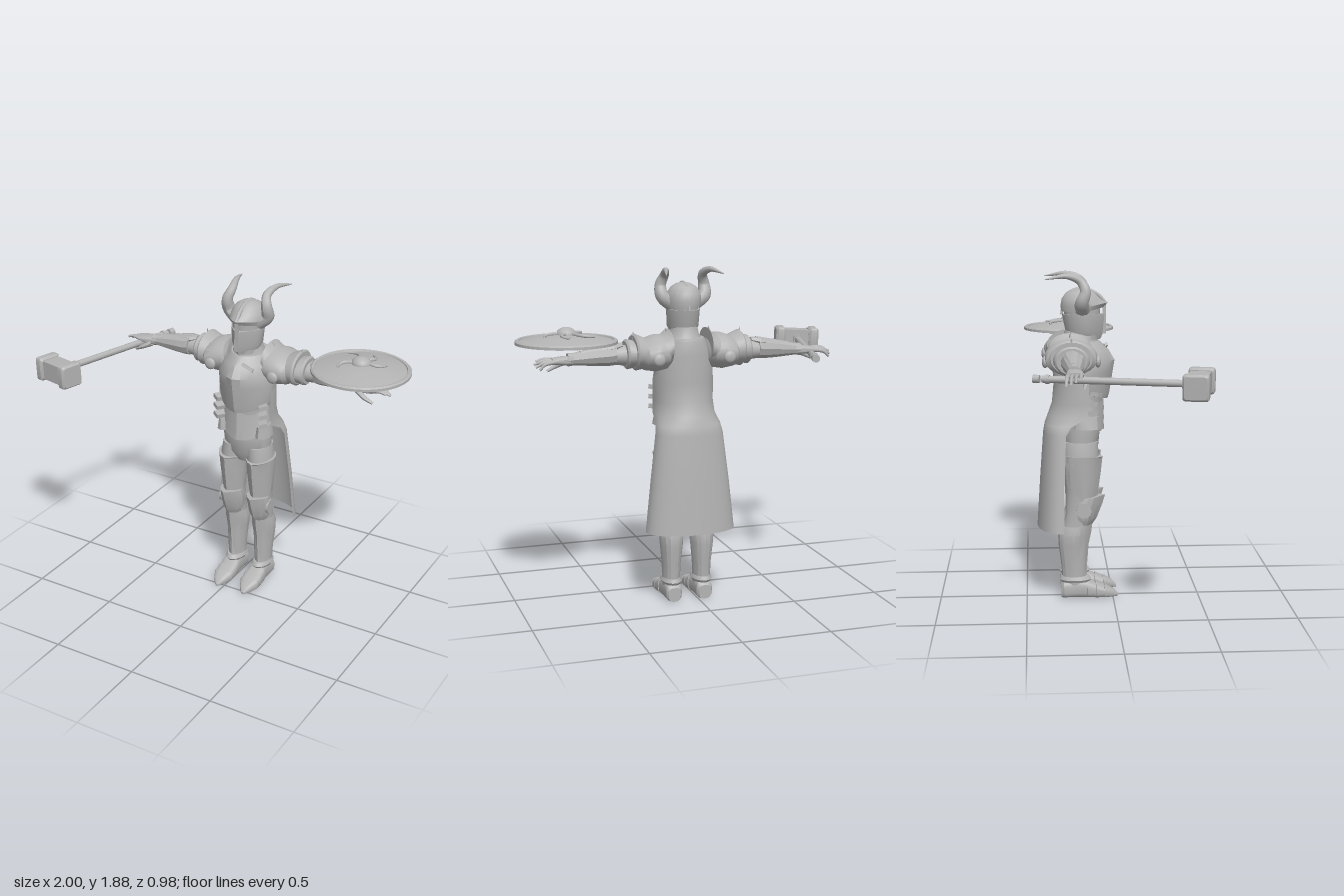
import * as THREE from 'three';
import { toCreasedNormals } from 'three/addons/utils/BufferGeometryUtils.js';

const steel = new THREE.MeshStandardMaterial({ color: 0xb4b4b4, side: THREE.DoubleSide });
steel.name = 'steel grey';

function add(parent, name, geo, pos = [0, 0, 0], rot = [0, 0, 0]) {
  const m = new THREE.Mesh(geo, steel);
  m.name = name;
  m.position.set(...pos);
  m.rotation.set(...rot);
  parent.add(m);
  return m;
}

// Closed body from rings [y, halfWidth, zFront, zBack, keel, frontDip, centreX], rising in y
function loft(rings, { power = 1, seg = 24, crease = 0.6 } = {}) {
  const pos = [], idx = [];
  const pw = v => Math.sign(v) * Math.abs(v) ** power;
  for (const [y, hx, zf, zb, keel = 0, dip = 0, cx = 0] of rings) {
    const mid = (zf + zb) / 2, hz = (zf - zb) / 2;
    for (let j = 0; j < seg; j++) {
      const a = j / seg * Math.PI * 2, s = pw(Math.sin(a)), c = pw(Math.cos(a));
      const f = Math.max(0, Math.cos(a));
      const z = c > 0 ? keel * (1 - Math.abs(s)) + (1 - keel) * c : c;
      pos.push(cx + hx * s, y - dip * f * f, mid + hz * z);
    }
  }
  const n = rings.length;
  for (let i = 0; i < n - 1; i++) for (let j = 0; j < seg; j++) {
    const a = i * seg + j, b = i * seg + (j + 1) % seg;
    idx.push(a, b, b + seg, a, b + seg, a + seg);
  }
  for (const end of [0, n - 1]) {
    const [y, , zf, zb, , , cx = 0] = rings[end], c = pos.length / 3;
    pos.push(cx, y, (zf + zb) / 2);
    for (let j = 0; j < seg; j++) {
      const a = end * seg + j, b = end * seg + (j + 1) % seg;
      end ? idx.push(a, b, c) : idx.push(b, a, c);
    }
  }
  const g = new THREE.BufferGeometry();
  g.setAttribute('position', new THREE.Float32BufferAttribute(pos, 3));
  g.setIndex(idx);
  return toCreasedNormals(g, crease);
}

// Same loft laid along +x: rings [x, halfHeight, zFront, zBack, , , -centreY]
const loftX = (rings, o) => loft(rings, o).rotateZ(-Math.PI / 2);

// Tube through points whose radius tapers from r0 to r1
function taper(points, r0, r1, n = 20, sides = 10) {
  const path = new THREE.CatmullRomCurve3(points.map(p => new THREE.Vector3(...p)));
  const g = new THREE.TubeGeometry(path, n, 1, sides), p = g.attributes.position;
  const v = new THREE.Vector3();
  for (let i = 0; i < p.count; i++) {
    const t = Math.floor(i / (sides + 1)) / n, c = path.getPointAt(t);
    v.fromBufferAttribute(p, i).sub(c).multiplyScalar(r0 + (r1 - r0) * t).add(c);
    p.setXYZ(i, v.x, v.y, v.z);
  }
  g.computeVertexNormals();
  return g;
}

function buildTorso(body) {
  add(body, 'hips', loft([[0.82, 0.07, -0.11, -0.26], [0.88, 0.14, -0.08, -0.29], [0.98, 0.15, -0.07, -0.29], [1.06, 0.145, -0.07, -0.28]]));
  add(body, 'waist', loft([[1.0, 0.145, -0.06, -0.28, 0.2, 0.03], [1.1, 0.13, -0.055, -0.28, 0.2], [1.24, 0.145, -0.05, -0.3]]));
  for (let i = 0; i < 3; i++) { // overlapping waist bands
    const y = 1.02 + i * 0.055;
    add(body, 'waistBand', loft([[y, 0.152 - i * 0.004, -0.045, -0.285, 0.3, 0.04], [y + 0.055, 0.138, -0.05, -0.28, 0.3, 0.03]]));
  }
  add(body, 'breastplate', loft([
    [1.2, 0.155, -0.025, -0.31, 0.25, 0.04], [1.225, 0.163, -0.015, -0.315, 0.3, 0.03], [1.32, 0.168, 0.005, -0.33, 0.35],
    [1.38, 0.165, 0.015, -0.335, 0.35], [1.44, 0.14, -0.02, -0.335, 0.3], [1.49, 0.105, -0.07, -0.32, 0.2]]));
  add(body, 'gorget', loft([[1.45, 0.12, -0.06, -0.32, 0.3], [1.5, 0.085, -0.08, -0.28, 0.3], [1.55, 0.075, -0.08, -0.27]]));
  add(body, 'chestClasp', new THREE.BoxGeometry(0.07, 0.018, 0.02), [0.075, 1.45, -0.035], [-0.4, 0.3, -0.35]);
}

// Cape wrapped around the back, rows [y, halfWidth, zEdge, zBack]
function buildCape(body) {
  const rows = [[1.48, 0.1, -0.22, -0.33], [1.4, 0.155, -0.17, -0.345], [1.25, 0.168, -0.14, -0.335], [1.14, 0.167, -0.135, -0.345],
    [1.07, 0.172, -0.15, -0.37], [1.02, 0.183, -0.24, -0.388], [0.97, 0.192, -0.27, -0.397], [0.7, 0.225, -0.28, -0.417], [0.42, 0.255, -0.285, -0.435]];
  const g = new THREE.PlaneGeometry(1, 1, 28, rows.length - 1), p = g.attributes.position;
  for (let i = 0; i < p.count; i++) {
    const [y, hx, ze, zb] = rows[Math.floor(i / 29)], a = ((i % 29) / 28 - 0.5) * Math.PI;
    p.setXYZ(i, -hx * Math.sin(a), y, ze + (zb - ze) * Math.max(0, Math.cos(a)) ** 0.8);
  }
  g.computeVertexNormals();
  add(body, 'cape', g);
}

function buildHelmet(body) {
  add(body, 'helmetCore', loft([[1.5, 0.07, -0.08, -0.25], [1.7, 0.085, -0.065, -0.28]]));
  add(body, 'faceGuard', loft([[1.51, 0.07, -0.065, -0.25, 0.6, 0.01], [1.55, 0.088, -0.045, -0.265, 0.6], [1.643, 0.093, -0.035, -0.285, 0.6]]));
  add(body, 'helmetDome', loft([[1.66, 0.094, -0.045, -0.288, 0.5, -0.02], [1.69, 0.1, -0.025, -0.292, 0.5, -0.015], [1.73, 0.094, -0.065, -0.285, 0.2],
    [1.765, 0.07, -0.1, -0.26], [1.783, 0.04, -0.135, -0.22], [1.79, 0.01, -0.17, -0.19]]));
  add(body, 'noseBar', new THREE.BoxGeometry(0.018, 0.16, 0.02), [0, 1.61, -0.043]);
  add(body, 'crestRidge', taper([[0, 1.7, -0.035], [0, 1.755, -0.085], [0, 1.787, -0.175], [0, 1.75, -0.26], [0, 1.64, -0.287]], 0.012, 0.008));
}

// Everything on the model's left; mirrored for its right
function buildSide(g) {
  add(g, 'horn', taper([[0.065, 1.675, -0.17], [0.12, 1.715, -0.175], [0.125, 1.775, -0.155], [0.11, 1.83, -0.18], [0.125, 1.862, -0.255], [0.16, 1.848, -0.38]], 0.045, 0.003, 30, 12));
  const hub = new THREE.CylinderGeometry(0.032, 0.038, 0.03, 18).rotateX(Math.PI / 2);
  add(g, 'hornSocket', hub, [0.09, 1.69, -0.175], [0, Math.PI / 2, 0]);

  // Shoulder plates
  const sy = 1.41;
  add(g, 'pauldron', loftX([[0.1, 0.06, -0.14, -0.32], [0.13, 0.095, -0.1, -0.37, 0, 0, -0.01], [0.19, 0.1, -0.09, -0.39, 0, 0, -0.005], [0.25, 0.085, -0.1, -0.38], [0.29, 0.06, -0.15, -0.33]]), [0, sy, 0]);
  add(g, 'pauldronRim', loftX([[0.11, 0.09, -0.12, -0.37, 0, 0, -0.045], [0.135, 0.085, -0.11, -0.375, 0, 0, -0.025], [0.17, 0.08, -0.11, -0.37, 0, 0, -0.02]]), [0, sy, 0]);
  for (let i = 0; i < 2; i++)
    add(g, 'shoulderLame', loftX([[0.22 + i * 0.05, 0.075 - i * 0.01, -0.13, -0.35, 0, 0, -0.005], [0.3 + i * 0.045, 0.1 - i * 0.018, -0.115 - i * 0.03, -0.365 + i * 0.03, 0, 0, -0.015 + i * 0.01],
      [0.31 + i * 0.045, 0.09 - i * 0.018, -0.125 - i * 0.03, -0.355 + i * 0.03, 0, 0, -0.015 + i * 0.01]]), [0, sy, 0]);
  add(g, 'shoulderSpike', new THREE.ConeGeometry(0.022, 0.07, 4), [0.3, 1.505, -0.24], [0, 0, -0.25]);
  add(g, 'collarSpike', new THREE.ConeGeometry(0.025, 0.08, 4), [0.13, 1.515, -0.24], [0, 0, 0.2]);
  for (const z of [-0.09, -0.385])
    add(g, 'shoulderDisc', new THREE.SphereGeometry(0.034, 18, 12).scale(1, 1, 0.5), [0.2, 1.395, z]);

  // Arm, bracer and hand
  add(g, 'upperArm', loftX([[0.25, 0.058, -0.18, -0.3], [0.36, 0.056, -0.18, -0.3], [0.46, 0.045, -0.19, -0.29], [0.64, 0.028, -0.205, -0.265, 0, 0, 0.015]]), [0, sy, 0]);
  add(g, 'bracer', loftX([[0.41, 0.062, -0.17, -0.3, 0, 0, -0.01], [0.44, 0.06, -0.17, -0.3, 0, 0, -0.005], [0.52, 0.052, -0.18, -0.29], [0.64, 0.033, -0.2, -0.27, 0, 0, 0.01], [0.67, 0.036, -0.195, -0.275, 0, 0, 0.012]], { seg: 10, crease: 0.3 }), [0, sy, 0]);
  add(g, 'elbowPlate', loftX([[0.37, 0.015, -0.215, -0.265, 0, 0, -0.055], [0.42, 0.025, -0.19, -0.29, 0, 0, -0.045], [0.6, 0.012, -0.215, -0.26, 0, 0, -0.022]], { seg: 8, crease: 0.3 }), [0, sy, 0]);
  add(g, 'palm', loftX([[0.64, 0.024, -0.205, -0.265], [0.69, 0.024, -0.19, -0.28], [0.755, 0.016, -0.19, -0.28]], { power: 0.7 }), [0, 1.395, 0]);
  for (let i = 0; i < 4; i++) {
    const z = -0.2 - i * 0.024, l = 0.855 - Math.abs(i - 1.3) * 0.015;
    add(g, 'finger', taper([[0.74, 1.395, z], [0.8, 1.402 - i * 0.006, z * 1.03], [l, 1.392 - i * 0.012, z * 1.04]], 0.013, 0.007, 8, 8));
  }
  add(g, 'thumb', taper([[0.67, 1.385, -0.2], [0.72, 1.36, -0.18], [0.77, 1.335, -0.185]], 0.018, 0.008, 8, 8));

  // Side pouches and straps on the waist
  for (let i = 0; i < 3; i++)
    add(g, 'sideStrap', new THREE.BoxGeometry(0.05, 0.025, 0.08), [0.135, 1.09 + i * 0.055, -0.11], [0, 0.6, 0.2]);
  add(g, 'hipPlate', loft([[1.0, 0.045, -0.075, -0.23, 0, 0, 0.125], [1.07, 0.03, -0.08, -0.22, 0, 0, 0.125]], { seg: 10 }));

  // Leg, centred 0.09 off the middle
  const leg = new THREE.Group();
  leg.name = 'leg';
  leg.position.x = 0.09;
  g.add(leg);
  add(leg, 'legCore', loft([[0.08, 0.045, -0.16, -0.28], [0.3, 0.055, -0.15, -0.3], [0.4, 0.06, -0.14, -0.3], [0.5, 0.055, -0.12, -0.27], [0.65, 0.066, -0.1, -0.27], [0.8, 0.078, -0.08, -0.285], [0.92, 0.07, -0.085, -0.285, 0, 0, -0.015]]));
  add(leg, 'thighPlate', loft([[0.52, 0.058, -0.105, -0.25, 0.4], [0.6, 0.064, -0.09, -0.265, 0.4], [0.74, 0.078, -0.07, -0.28, 0.3], [0.82, 0.084, -0.06, -0.285, 0.3, -0.01], [0.845, 0.086, -0.055, -0.285, 0.3, 0.01]], { seg: 16, crease: 0.35 }));
  add(leg, 'kneePlate', loft([[0.43, 0.045, -0.125, -0.22, 0.5], [0.47, 0.064, -0.095, -0.24, 0.5], [0.56, 0.072, -0.06, -0.25, 0.5], [0.6, 0.066, -0.045, -0.24, 0.5, -0.01]], { seg: 12, crease: 0.35 }));
  add(leg, 'kneeFan', new THREE.CylinderGeometry(0.045, 0.045, 0.015, 10).rotateZ(Math.PI / 2), [0.068, 0.53, -0.17]);
  add(leg, 'greave', loft([[0.12, 0.05, -0.15, -0.295, 0.3], [0.2, 0.052, -0.15, -0.3, 0.4], [0.32, 0.064, -0.14, -0.315, 0.4], [0.38, 0.07, -0.125, -0.315, 0.4, -0.01], [0.43, 0.06, -0.115, -0.3, 0.4, -0.04]], { seg: 16, crease: 0.35 }));
  add(leg, 'ankleRing', loft([[0.095, 0.05, -0.135, -0.3], [0.11, 0.058, -0.125, -0.31], [0.13, 0.05, -0.14, -0.3]]));
  // Shoe laid along z with stepped toe plates: bottom at 0, top at minus zBack
  const shoe = [[-0.3, 0.035, 0, -0.08], [-0.285, 0.046, 0, -0.1], [-0.2, 0.046, 0, -0.11], [-0.15, 0.05, 0, -0.1],
    [-0.149, 0.055, 0, -0.106], [-0.1, 0.058, 0, -0.082], [-0.099, 0.06, 0, -0.088], [-0.05, 0.057, 0, -0.066],
    [-0.049, 0.059, 0, -0.07], [0, 0.035, 0, -0.045], [0.03, 0.008, 0, -0.015]];
  add(leg, 'armouredShoe', loft(shoe, { power: 0.65, crease: 0.4 }).rotateX(Math.PI / 2));
}

function buildShield(root) {
  const s = new THREE.Group();
  s.name = 'shield';
  s.position.set(0.725, 1.495, -0.228);
  root.add(s);
  const profile = [[0, 0.01], [0.25, -0.012], [0.275, -0.008], [0.275, 0.006], [0.265, 0.014], [0.253, 0.012], [0.25, 0.005], [0.12, 0.034], [0, 0.045]];
  add(s, 'shieldDisc', toCreasedNormals(new THREE.LatheGeometry(profile.map(p => new THREE.Vector2(...p)), 48), 0.4));
  add(s, 'shieldBoss', new THREE.SphereGeometry(0.055, 24, 16).scale(1, 0.75, 1), [0, 0.038, 0]);
  [0.1, 1.2, 2.2, 3.7].forEach((a, i) => { // curled ornaments around the boss
    const l = i === 2 ? 0.15 : 0.12;
    add(s, 'shieldOrnament', taper([[0.04, 0.045, 0], [l * 0.75, 0.042, 0.01], [l, 0.037, -0.01], [l + 0.015, 0.036, -0.04]], 0.012, 0.006, 12, 8), [0, 0, 0], [0, a, 0]);
  });
  add(s, 'shieldGrip', new THREE.BoxGeometry(0.12, 0.014, 0.05), [0, -0.037, 0]);
  for (const x of [-0.04, 0.04]) add(s, 'gripPost', new THREE.BoxGeometry(0.015, 0.05, 0.03), [x, -0.02, 0]);
}

function buildHammer(root) {
  const h = new THREE.Group();
  h.name = 'hammer';
  h.position.set(-0.86, 1.372, 0.385);
  h.rotation.set(0, -0.272, 0.04);
  root.add(h);
  const rod = (r, l) => new THREE.CylinderGeometry(r, r, l, 14).rotateX(Math.PI / 2);
  add(h, 'handle', rod(0.019, 0.8), [0, 0, -0.42]);
  add(h, 'handleCollar', rod(0.027, 0.03), [0, 0, -0.07]);
  add(h, 'handleRing', rod(0.024, 0.02), [0, 0, -0.79]);
  add(h, 'handlePommel', rod(0.022, 0.035), [0, 0, -0.85]);
  add(h, 'hammerBlock', new THREE.BoxGeometry(0.2, 0.108, 0.108));
  // Bevelled striking ends
  for (const s of [-1, 1]) {
    const end = loftX([[-0.03, 0.058, 0.058, -0.058], [-0.018, 0.068, 0.068, -0.068], [0.016, 0.068, 0.068, -0.068], [0.03, 0.058, 0.058, -0.058]], { power: 0.2, seg: 24, crease: 0.4 });
    add(h, 'hammerFace', end, [s * 0.1, 0, 0]);
  }
}

export function createModel() {
  const root = new THREE.Group();
  root.name = 'armouredKnight';
  const body = new THREE.Group();
  body.name = 'body';
  body.position.x = 0.053;
  root.add(body);
  buildTorso(body);
  buildCape(body);
  buildHelmet(body);
  for (const s of [1, -1]) {
    const side = new THREE.Group();
    side.name = s > 0 ? 'leftSide' : 'rightSide';
    side.scale.x = s;
    body.add(side);
    buildSide(side);
  }
  buildShield(root);
  buildHammer(root);
  return root;
}
